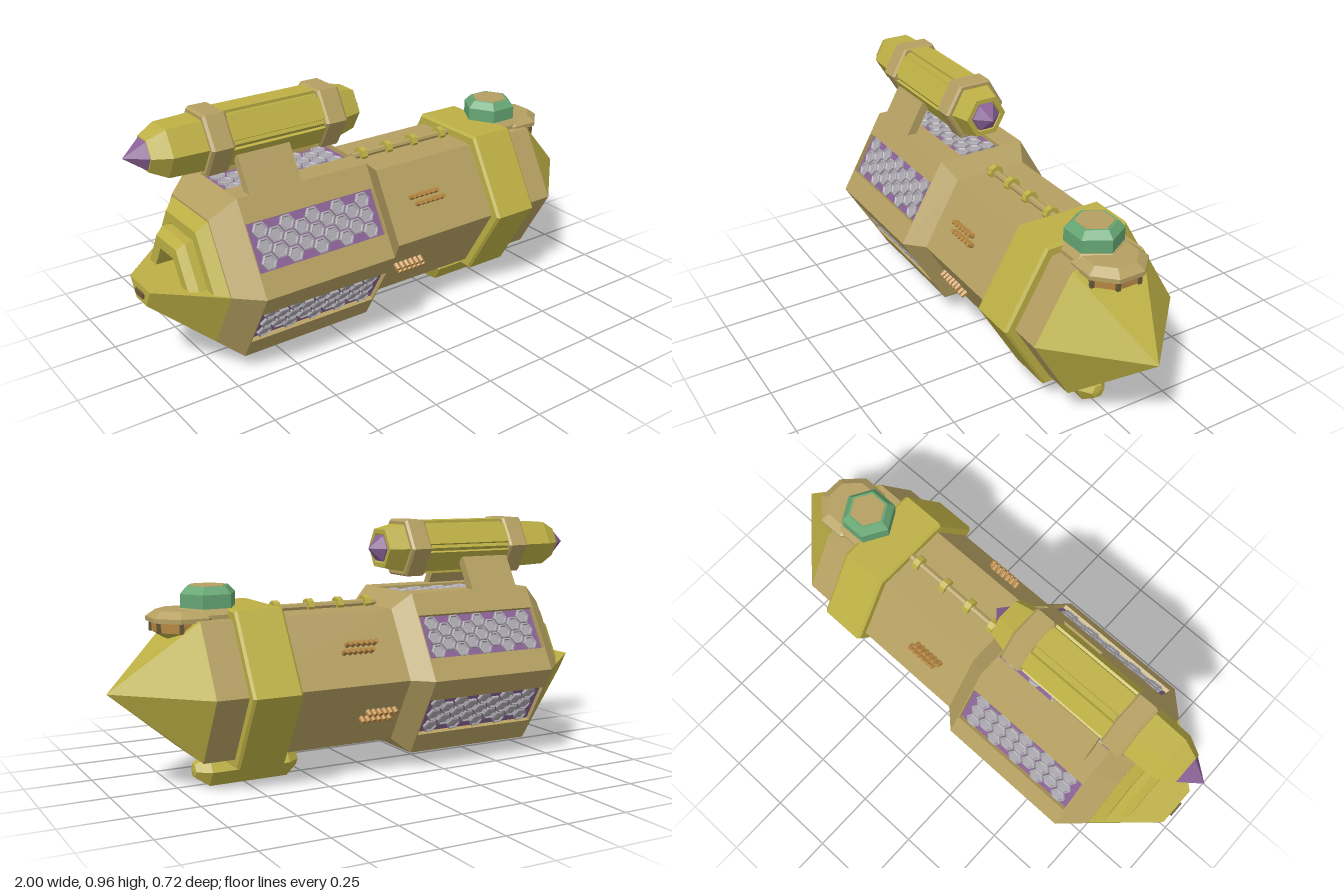
import * as THREE from 'three';
import { mergeGeometries } from 'three/addons/utils/BufferGeometryUtils.js';

const paint = (color) => new THREE.MeshStandardMaterial({ color, flatShading: true, side: THREE.DoubleSide });

export function createModel() {
  const tan = paint(0xb5a062), olive = paint(0xbdb045), purple = paint(0x8a6296);
  const green = paint(0x66a673), grey = paint(0xaaa6ae), amber = paint(0xb98a45), dark = paint(0x6b5a38);
  const model = new THREE.Group();

  const add = (parent, name, geometry, material, x = 0, y = 0, z = 0) => {
    const mesh = new THREE.Mesh(geometry, material);
    mesh.name = name;
    mesh.position.set(x, y, z);
    parent.add(mesh);
    return mesh;
  };
  const group = (name, y = 0) => {
    const g = new THREE.Group();
    g.name = name;
    g.position.y = y;
    model.add(g);
    return g;
  };
  const lathe = (pts, sides = 6, start = 0, length = Math.PI * 2) =>
    new THREE.LatheGeometry(pts.map(([r, h]) => new THREE.Vector2(r, h)), sides, start, length);
  // Six-sided body along x from [radius, x] pairs, with corners at +z and -z
  const hexBody = (pts) => lathe(pts).rotateZ(-Math.PI / 2);
  // Upper or lower half of such a body
  const halfHex = (pts, upper) => lathe(pts, 3, upper ? Math.PI : 0, Math.PI).rotateZ(-Math.PI / 2);
  // Prism along x from a [z, y] outline
  const prismX = (pts, x0, length) => new THREE.ExtrudeGeometry(
    new THREE.Shape(pts.map(([z, y]) => new THREE.Vector2(-z, y))),
    { depth: length, bevelEnabled: false }).rotateY(Math.PI / 2).translate(x0, 0, 0);

  // ---- Main hull ----
  const hull = group('hull', 0.375);
  const R = 0.361, apothem = R * Math.cos(Math.PI / 6);
  add(hull, 'midHull', hexBody([[R, -0.14], [0.294, -0.07], [0.294, 0.7]]), tan);
  add(hull, 'noseCone', hexBody([[0.294, 0.7], [0, 1]]), olive);
  add(hull, 'collar', hexBody([[0.29, 0.39], [0.325, 0.39], [0.335, 0.4], [0.335, 0.57], [0.325, 0.58], [0.29, 0.58]]), olive);

  // ---- Rear hull: six framed honeycomb panels ----
  const cells = [];
  for (let col = 0; col < 9; col++) {
    const rows = col % 2 ? 2 : 3;
    for (let row = 0; row < rows; row++) {
      cells.push(lathe([[0.031, 0], [0.031, 0.01], [0.025, 0.012], [0.021, 0.007], [0, 0.007]])
        .rotateY(Math.PI / 2)
        .translate(-0.41 + (col - 4) * 0.0535, apothem - 0.018, (row - (rows - 1) / 2) * 0.057));
    }
  }
  const honeycomb = mergeGeometries(cells);
  const rect = (Type, w, h) => new Type().moveTo(-w, -h).lineTo(w, -h).lineTo(w, h).lineTo(-w, h).closePath();
  const frameShape = rect(THREE.Shape, 0.27, R / 2);
  frameShape.holes.push(rect(THREE.Path, 0.266, 0.0875));
  const frame = new THREE.ExtrudeGeometry(frameShape, { depth: 0.02, bevelEnabled: false })
    .rotateX(-Math.PI / 2).translate(-0.41, apothem - 0.02, 0);
  for (let k = 0; k < 6; k++) {
    const side = new THREE.Group();
    side.name = 'rearSide';
    side.rotation.x = k * Math.PI / 3;
    hull.add(side);
    add(side, 'sideFrame', frame, tan);
    add(side, 'panelBack', new THREE.BoxGeometry(0.538, 0.01, 0.18), purple, -0.41, apothem - 0.022);
    add(side, 'honeycomb', honeycomb, grey);
  }

  // ---- Tail: solid lower jaw and stepped upper arches ----
  add(hull, 'lowerTaper', halfHex([[0.276, -0.77], [R, -0.68]], false), tan);
  add(hull, 'lowerJaw', halfHex([[0, -0.98], [0.08, -0.98], [0.276, -0.77]], false), olive);
  const deck = new THREE.Shape([[-0.98, 0.08], [-0.68, 0.355], [-0.68, -0.355], [-0.98, -0.08]]
    .map(([x, z]) => new THREE.Vector2(x, z)));
  add(hull, 'jawDeck', new THREE.ShapeGeometry(deck).rotateX(Math.PI / 2), olive);
  add(hull, 'upperTaper', halfHex([[0, -0.77], [0.276, -0.77], [R, -0.68]], true), tan);
  add(hull, 'outerArch', halfHex([[0.18, -0.765], [0.18, -0.81], [0.225, -0.81], [0.272, -0.765]], true), olive);
  add(hull, 'innerArch', halfHex([[0.1, -0.765], [0.1, -0.87], [0.15, -0.87], [0.175, -0.84], [0.175, -0.765]], true), olive);
  add(hull, 'tailNotch', new THREE.BoxGeometry(0.015, 0.02, 0.06), dark, -0.98, -0.035);

  // ---- Ribbed studs on the slanted middle faces ----
  for (const [angle, x0] of [[60, 0.045], [-60, 0.045], [120, -0.035], [-120, -0.035]]) {
    const studs = new THREE.Group();
    studs.name = 'studs';
    studs.rotation.x = THREE.MathUtils.degToRad(angle);
    hull.add(studs);
    for (let row = 0; row < 2; row++) {
      for (let i = 0; i < 6; i++) {
        add(studs, 'stud', new THREE.CylinderGeometry(0.009, 0.012, 0.034, 6), amber,
          x0 + i * 0.0225 + row * 0.02, 0.264, (row - 0.5) * 0.03 * Math.sign(angle));
      }
    }
  }

  // ---- Spine pipe with clamps ----
  const spine = group('spine', 0.64);
  add(spine, 'pipe', new THREE.CylinderGeometry(0.014, 0.014, 0.48, 8).rotateZ(Math.PI / 2), tan, 0.16);
  for (const x of [-0.035, 0.085, 0.21, 0.35])
    add(spine, 'clamp', new THREE.CylinderGeometry(0.03, 0.03, 0.025, 8).rotateZ(Math.PI / 2), olive, x);

  // ---- Upper pod ----
  const pod = group('upperPod', 0.85);
  add(pod, 'podBody', hexBody([[0, -0.925], [0.065, -0.925], [0.1, -0.86], [0.105, -0.73],
    [0.109, -0.73], [0.109, -0.18], [0.105, -0.18], [0.085, -0.1], [0.065, -0.1], [0.06, -0.115], [0, -0.115]]), olive);
  add(pod, 'rearTip', hexBody([[0, -1], [0.062, -0.922], [0, -0.922]]), purple);
  add(pod, 'frontTip', hexBody([[0.058, -0.115], [0.058, -0.1], [0, -0.05]]), purple);
  for (const x of [-0.685, -0.225])
    add(pod, 'podBand', hexBody([[0.1, x - 0.045], [0.119, x - 0.045], [0.127, x - 0.035],
      [0.127, x + 0.035], [0.119, x + 0.045], [0.1, x + 0.045]]), tan);
  for (let k = 0; k < 6; k++) {
    const slat = add(pod, 'podSlat', new THREE.BoxGeometry(0.38, 0.016, 0.082).translate(-0.455, 0.097, 0), olive);
    slat.rotation.x = k * Math.PI / 3;
  }

  // ---- Struts carrying the pod ----
  for (const s of [1, -1])
    add(model, 'podStrut', prismX([[s * 0.183, 0.685], [s * 0.11, 0.812], [s * 0.075, 0.8], [s * 0.145, 0.68]], -0.63, 0.21), tan);

  // ---- Lower pod ----
  const keel = group('lowerPod', 0.057);
  add(keel, 'lowerPodBody', hexBody([[0, 0.27], [0.028, 0.275], [0.066, 0.325], [0.066, 0.635], [0.028, 0.685], [0, 0.69]]), olive);

  // ---- Bridge on the nose ----
  const bridge = group('bridge');
  const eight = (pts) => lathe(pts, 8).rotateY(Math.PI / 8);
  add(bridge, 'bridgeBowl', eight([[0, 0.54], [0.05, 0.545], [0.115, 0.585]]), olive, 0.71);
  add(bridge, 'bridgeWindows', eight([[0.115, 0.585], [0.118, 0.625]]), amber, 0.71);
  for (let i = 0; i < 8; i++) {
    const a = (i + 0.5) * Math.PI / 4;
    add(bridge, 'windowPost', new THREE.BoxGeometry(0.014, 0.042, 0.014), dark,
      0.71 + Math.sin(a) * 0.115, 0.605, Math.cos(a) * 0.115);
  }
  add(bridge, 'bridgeRoof', eight([[0.11, 0.622], [0.135, 0.622], [0.135, 0.638], [0.1, 0.662], [0, 0.662]]), tan, 0.71);

  // ---- Turret above the bridge ----
  const pointed = (pts) => lathe(pts).rotateY(Math.PI / 2);
  add(bridge, 'turretBase', pointed([[0.13, 0.63], [0.13, 0.645], [0.11, 0.665], [0, 0.665]]), tan, 0.615);
  add(bridge, 'turretRing', pointed([[0.106, 0.66], [0.106, 0.715], [0.08, 0.742], [0.07, 0.742]]), green, 0.615);
  add(bridge, 'turretCap', pointed([[0.072, 0.738], [0.07, 0.744], [0, 0.744]]), tan, 0.615);

  return model;
}
